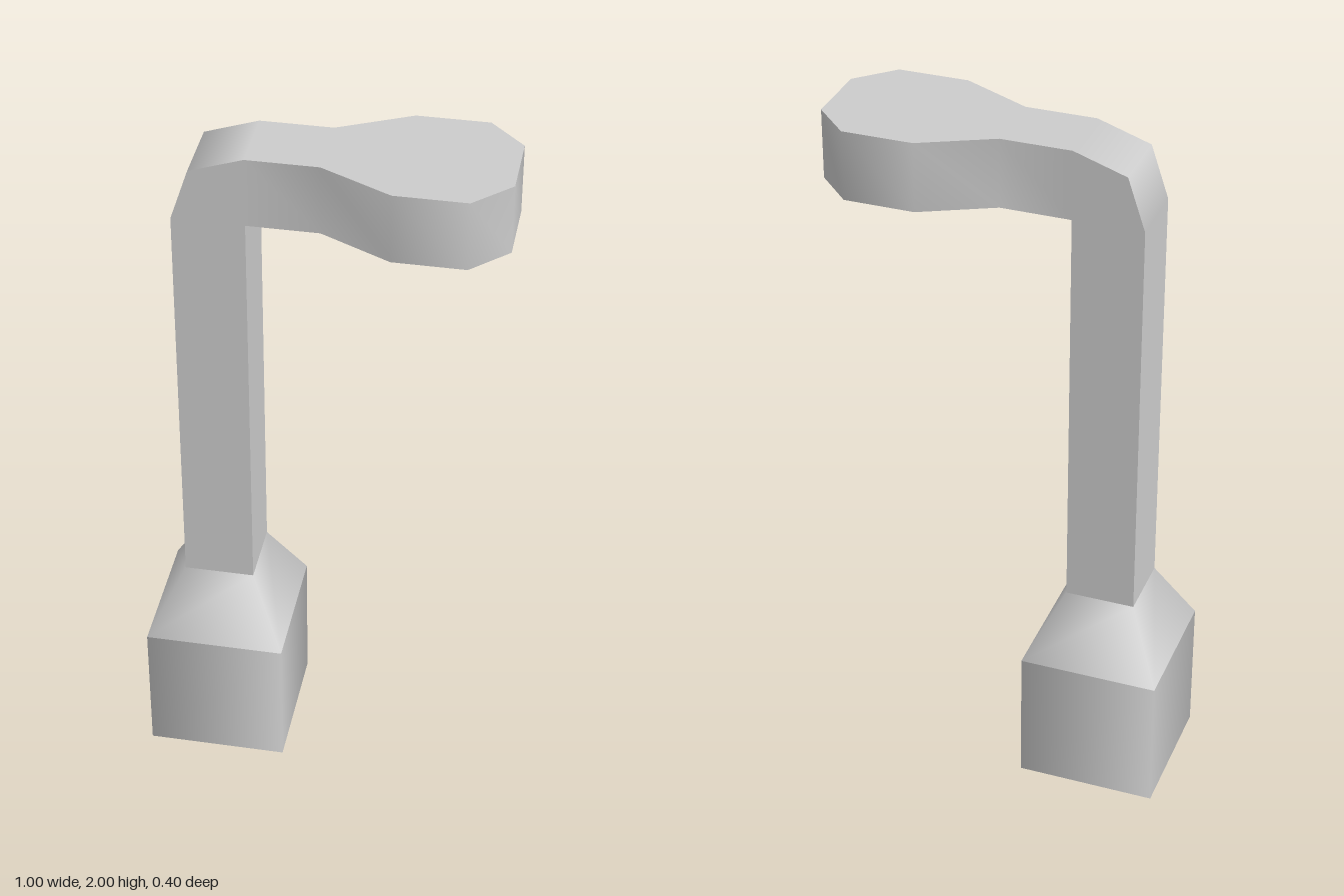
import * as THREE from 'three';
import { toCreasedNormals } from 'three/addons/utils/BufferGeometryUtils.js';

const grey = new THREE.MeshStandardMaterial({ color: 0xcccccc, side: THREE.DoubleSide });
grey.name = 'grey';

const AXIS_X = -0.3; // centre line of the post and base

function part(name, geometry, x = 0, y = 0, z = 0) {
  const mesh = new THREE.Mesh(geometry, grey);
  mesh.name = name;
  mesh.position.set(x, y, z);
  return mesh;
}

// Open four-sided tube with smooth corners, given half widths
function squareTube(topHalf, bottomHalf, height) {
  return new THREE.CylinderGeometry(
    topHalf * Math.SQRT2, bottomHalf * Math.SQRT2, height, 4, 1, true, Math.PI / 4);
}

function extrude(points, depth) {
  const shape = new THREE.Shape(points.map(([x, y]) => new THREE.Vector2(x, y)));
  return new THREE.ExtrudeGeometry(shape, { depth, bevelEnabled: false });
}

// Bevelled bend, shaded as a round corner about its inner edge
function elbowGeometry() {
  const g = extrude([[0, 0], [0, 0.2], [-0.15, 0.15], [-0.2, 0]], 0.2);
  const { position, normal } = g.attributes;
  for (let i = 0; i < position.count; i++) {
    if (Math.abs(normal.getZ(i)) > 0.5) continue;
    const n = new THREE.Vector3(position.getX(i), position.getY(i), 0);
    if (n.length() < 0.01) continue;
    n.normalize();
    normal.setXYZ(i, n.x, n.y, 0);
  }
  return g;
}

// Flat arm widening into a paddle with clipped corners
function headGeometry() {
  const side = [[-0.2, 0.1], [0, 0.1], [0.2, 0.2], [0.4, 0.2], [0.5, 0.1]];
  const mirrored = side.map(([x, y]) => [x, -y]);
  const g = extrude([...mirrored, ...side.reverse()], 0.2);
  g.rotateX(-Math.PI / 2);
  return toCreasedNormals(g, THREE.MathUtils.degToRad(50));
}

export function createModel() {
  const model = new THREE.Group();
  model.name = 'crankedPaddle';
  model.add(
    part('baseSocket', squareTube(0.2, 0.2, 0.4), AXIS_X, 0.2),
    part('baseTaper', squareTube(0.1, 0.2, 0.2), AXIS_X, 0.5),
    part('post', new THREE.BoxGeometry(0.2, 1.2, 0.2), AXIS_X, 1.2),
    part('elbow', elbowGeometry(), -0.2, 1.8, -0.1),
    part('paddleHead', headGeometry(), 0, 1.8),
  );
  return model;
}
